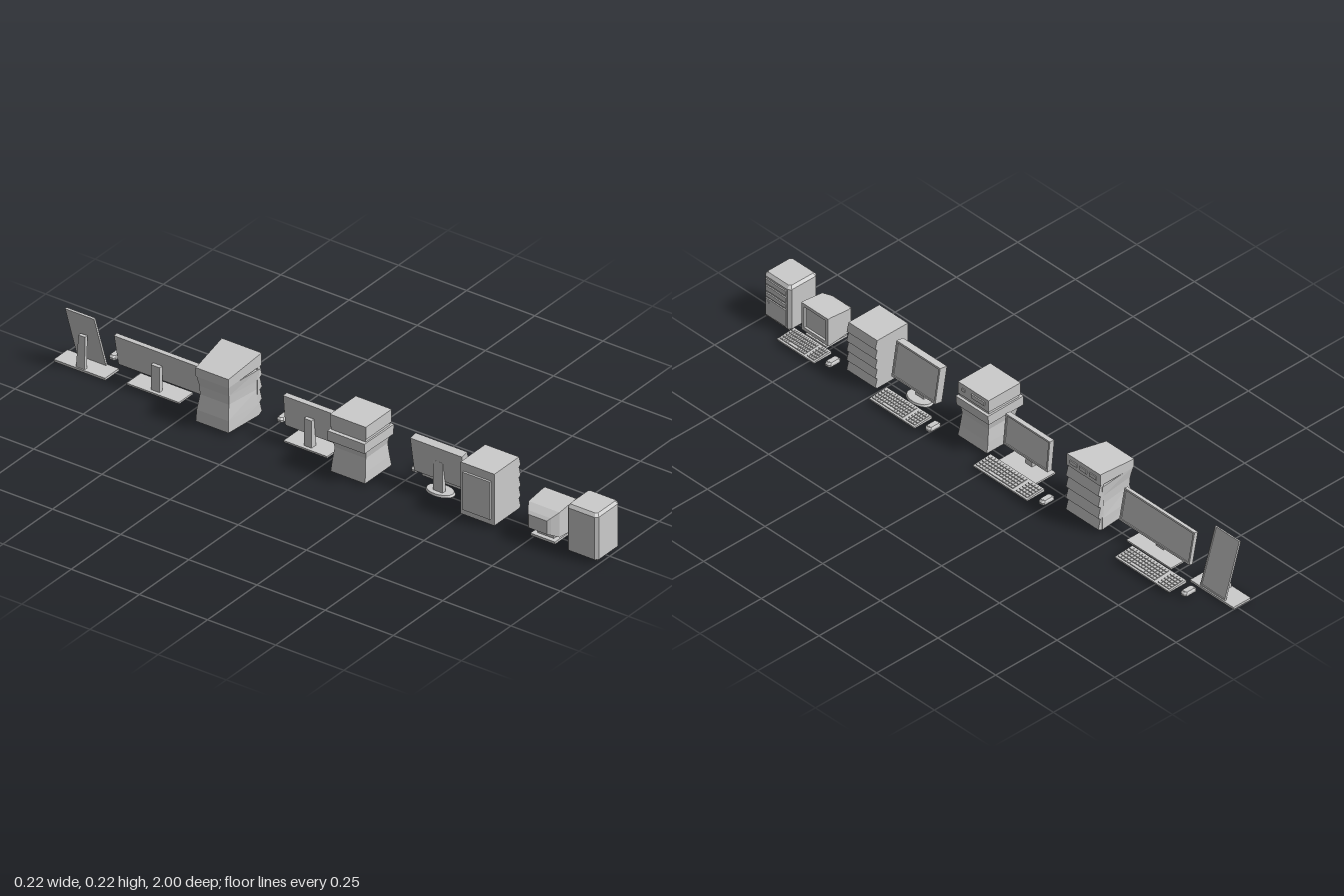
import * as THREE from 'three';
import { mergeGeometries } from 'three/addons/utils/BufferGeometryUtils.js';

const grey = new THREE.MeshStandardMaterial({ color: 0xcccccc, flatShading: true });

function add(parent, name, geo) {
  const m = new THREE.Mesh(geo, grey);
  m.name = name;
  parent.add(m);
  return m;
}
function boxGeo(x0, x1, y0, y1, z0, z1) {
  return new THREE.BoxGeometry(x1 - x0, y1 - y0, z1 - z0)
    .translate((x0 + x1) / 2, (y0 + y1) / 2, (z0 + z1) / 2);
}
const box = (p, name, ...b) => add(p, name, boxGeo(...b));

function station(parent, name, z) {
  const g = new THREE.Group();
  g.name = name;
  g.position.z = z;
  parent.add(g);
  return g;
}

// Skin a list of equal-sized rings and cap both ends
function loft(rings) {
  const pos = [], n = rings[0].length;
  const tri = (...pts) => pts.forEach(p => pos.push(...p));
  for (let k = 0; k + 1 < rings.length; k++) {
    const a = rings[k], b = rings[k + 1];
    for (let i = 0; i < n; i++) {
      const j = (i + 1) % n;
      tri(a[i], a[j], b[j], a[i], b[j], b[i]);
    }
  }
  const lo = rings[0], hi = rings[rings.length - 1];
  for (let i = 1; i + 1 < n; i++) {
    tri(lo[0], lo[i + 1], lo[i]);
    tri(hi[0], hi[i], hi[i + 1]);
  }
  const g = new THREE.BufferGeometry();
  g.setAttribute('position', new THREE.Float32BufferAttribute(pos, 3));
  g.computeVertexNormals();
  return g;
}
// Horizontal ring: back/front x, half width at back and at front, heights at back and front
const ringY = (x0, x1, wb, wf, yb, yf = yb) =>
  [[x1, yf, wf], [x1, yf, -wf], [x0, yb, -wb], [x0, yb, wb]];
// Ring across x, used for the tube monitor
const ringX = (x, y0, y1, w) => [[x, y0, -w], [x, y1, -w], [x, y1, w], [x, y0, w]];
// Horizontal ring with chamfered corners
const ringC = (x0, x1, w, c, y) => [[x1, y, w - c], [x1, y, c - w], [x1 - c, y, -w], [x0 + c, y, -w],
  [x0, y, c - w], [x0, y, w - c], [x0 + c, y, w], [x1 - c, y, w]];

// Front of overlapping slanted panels
function louvers(p, x, out, y0, y1, count, w) {
  const s = new THREE.Shape(), h = (y1 - y0) / count;
  s.moveTo(x - 0.012, y0);
  for (let i = 0; i < count; i++) {
    const y = y0 + i * h;
    s.lineTo(x, y);
    s.lineTo(x + out, y + h * 0.15);
    s.lineTo(x, y + h);
  }
  s.lineTo(x - 0.012, y1);
  add(p, 'louveredFront', new THREE.ExtrudeGeometry(s, { depth: 2 * w, bevelEnabled: false }).translate(0, 0, -w));
}

// Flat display: casing, raised bezel and recessed screen, leaning about its bottom edge
function display(p, x, y, h, w, depth, tilt, rim = 0.006) {
  const g = new THREE.Group();
  g.name = 'display';
  g.position.set(x, y, 0);
  g.rotation.z = tilt;
  p.add(g);
  box(g, 'screenCasing', -depth, -0.003, 0, h, -w, w);
  box(g, 'bezelBottom', -0.003, 0, 0, rim, -w, w);
  box(g, 'bezelTop', -0.003, 0, h - rim, h, -w, w);
  for (const s of [-1, 1]) {
    const z = s * (w - rim / 2);
    box(g, 'bezelSide', -0.003, 0, rim, h - rim, z - rim / 2, z + rim / 2);
  }
}

// Wedge keyboard with rows of keys and a number block
function keyboard(root, z, w) {
  const g = station(root, 'keyboard', z);
  add(g, 'keyboardBase', loft([ringY(0.038, 0.109, w, w, 0.011), ringY(0.038, 0.109, w, w, 0.021, 0.016)]));
  const keys = [], cols = 18, pitch = (2 * w - 0.01) / cols;
  for (let r = 0; r < 5; r++) {
    const x = 0.045 + r * 0.012, y = 0.0205 - (x - 0.038) * 0.07;
    for (let c = 0; c < cols; c++) {
      if (c === 4 || (r === 4 && c > 9 && c < 14)) continue;
      const kz = -w + 0.005 + c * pitch;
      const wide = r === 4 && c === 9 ? 5 * pitch : pitch;
      keys.push(boxGeo(x, x + 0.0095, y - 0.001, y + 0.003, kz + 0.001, kz + wide - 0.001));
    }
  }
  add(g, 'keys', mergeGeometries(keys));
}

function mouse(root, z) {
  const g = station(root, 'mouse', z);
  add(g, 'mouseBody', loft([
    ringC(0.04, 0.09, 0.012, 0.006, 0.011), ringC(0.04, 0.09, 0.012, 0.006, 0.018),
    ringC(0.046, 0.084, 0.009, 0.005, 0.024)]));
  box(g, 'mouseWheel', 0.078, 0.084, 0.02, 0.025, -0.002, 0.002);
}

export function createModel() {
  const root = new THREE.Group();
  root.name = 'computerLineup';

  // Small chamfered tower
  const t1 = station(root, 'chamferedTower', 0.943);
  box(t1, 'plinth', -0.056, 0.048, 0.009, 0.018, -0.051, 0.051);
  add(t1, 'towerBody', loft([ringC(-0.064, 0.052, 0.057, 0.009, 0.015),
    ringC(-0.064, 0.052, 0.057, 0.009, 0.161), ringC(-0.055, 0.043, 0.05, 0.006, 0.171)]));
  for (const [y, h] of [[0.138, 0.016], [0.112, 0.018], [0.09, 0.014]])
    box(t1, 'driveBay', 0.05, 0.056, y, y + h, -0.043, 0.043);
  box(t1, 'lowerFrontPanel', 0.05, 0.056, 0.022, 0.084, -0.043, 0.043);
  box(t1, 'powerButton', 0.055, 0.058, 0.07, 0.077, 0.027, 0.034);

  // Tube monitor
  const crt = station(root, 'tubeMonitor', 0.794);
  add(crt, 'tubeHousing', loft([ringX(-0.081, 0.054, 0.1, 0.034), ringX(-0.072, 0.05, 0.108, 0.042),
    ringX(-0.048, 0.036, 0.122, 0.057), ringX(0.024, 0.03, 0.13, 0.058)]));
  box(crt, 'tubeScreen', 0.02, 0.028, 0.042, 0.119, -0.046, 0.046);
  box(crt, 'frameTop', 0.024, 0.036, 0.119, 0.13, -0.058, 0.058);
  box(crt, 'frameBottom', 0.024, 0.036, 0.03, 0.042, -0.058, 0.058);
  for (const s of [-0.052, 0.052]) box(crt, 'frameSide', 0.024, 0.036, 0.042, 0.119, s - 0.006, s + 0.006);
  box(crt, 'monitorNeck', -0.04, 0.02, 0.018, 0.034, -0.03, 0.03);
  box(crt, 'monitorFoot', -0.055, 0.032, 0.011, 0.019, -0.045, 0.045);

  // Louvered tower
  const t2 = station(root, 'louveredTower', 0.567);
  box(t2, 'towerBody', -0.072, 0.045, 0.01, 0.188, -0.062, 0.062);
  louvers(t2, 0.053, 0.008, 0.01, 0.188, 5, 0.062);
  box(t2, 'rearPanel', -0.079, -0.07, 0.03, 0.16, -0.05, 0.05);

  // Flat monitor on a round foot
  const m1 = station(root, 'roundFootMonitor', 0.382);
  display(m1, 0.022, 0.055, 0.124, 0.095, 0.028, 0.17);
  box(m1, 'monitorNeck', -0.018, -0.004, 0.014, 0.12, -0.018, 0.018);
  add(m1, 'roundFoot', new THREE.CylinderGeometry(0.046, 0.05, 0.007, 32).scale(0.65, 1, 1).translate(-0.004, 0.0135, 0));

  // Banded tower with a flared lower body
  const t3 = station(root, 'bandedTower', 0.112);
  add(t3, 'flaredBody', loft([ringY(-0.1, 0.035, 0.063, 0.063, 0.01), ringY(-0.095, 0.028, 0.061, 0.061, 0.045),
    ringY(-0.088, 0.023, 0.057, 0.057, 0.09), ringY(-0.096, 0.026, 0.063, 0.063, 0.125)]));
  add(t3, 'middleBand', loft([ringY(-0.11, 0.034, 0.068, 0.07, 0.12), ringY(-0.11, 0.037, 0.068, 0.07, 0.153)]));
  box(t3, 'bandSeam', -0.097, 0.027, 0.152, 0.164, -0.063, 0.063);
  box(t3, 'topCase', -0.1, 0.031, 0.163, 0.206, -0.066, 0.066);
  box(t3, 'discSlot', 0.03, 0.035, 0.18, 0.194, -0.05, 0.005);
  box(t3, 'powerButton', 0.03, 0.034, 0.182, 0.192, 0.035, 0.047);

  // Flat monitor on a square foot
  const m2 = station(root, 'squareFootMonitor', -0.083);
  display(m2, 0.003, 0.05, 0.108, 0.096, 0.018, 0.1);
  box(m2, 'monitorNeck', -0.034, -0.012, 0.015, 0.11, -0.014, 0.014);
  box(m2, 'squareFoot', -0.046, 0.035, 0.01, 0.016, -0.08, 0.08);

  // Wedge-topped tower
  const t4 = station(root, 'wedgeTower', -0.386);
  add(t4, 'waistedBody', loft([ringY(-0.1, 0.04, 0.06, 0.072, 0.01), ringY(-0.098, 0.04, 0.058, 0.071, 0.05),
    ringY(-0.088, 0.04, 0.053, 0.068, 0.1), ringY(-0.09, 0.04, 0.054, 0.069, 0.13),
    ringY(-0.099, 0.04, 0.059, 0.072, 0.168)]));
  add(t4, 'slopedCap', loft([ringY(-0.1, 0.05, 0.06, 0.073, 0.165, 0.178), ringY(-0.1, 0.05, 0.06, 0.073, 0.195, 0.22)]));
  louvers(t4, 0.046, 0.01, 0.01, 0.178, 4, 0.07);
  for (const z of [-0.042, 0, 0.042]) box(t4, 'frontSocket', 0.048, 0.053, 0.192, 0.205, z - 0.015, z + 0.015);

  // Ultra-wide monitor
  const m3 = station(root, 'wideMonitor', -0.642);
  display(m3, 0.003, 0.045, 0.111, 0.152, 0.014, 0.2);
  box(m3, 'monitorNeck', -0.035, -0.02, 0.013, 0.1, -0.016, 0.016);
  box(m3, 'monitorFoot', -0.047, 0.025, 0.008, 0.014, -0.096, 0.096);

  // Upright slab display on a leaning stand
  const m4 = station(root, 'slabDisplay', -0.906);
  display(m4, 0.014, 0.01, 0.198, 0.053, 0.007, 0.31, 0.004);
  box(m4, 'standPlate', -0.054, 0.016, 0, 0.008, -0.094, 0.094);
  add(m4, 'rearStrut', loft([ringY(-0.05, -0.038, 0.016, 0.016, 0.006), ringY(-0.042, -0.03, 0.012, 0.012, 0.115)]));

  // Keyboards and mice beside each machine
  for (const [z, w] of [[0.8, 0.08], [0.382, 0.098], [-0.087, 0.117], [-0.702, 0.117]]) keyboard(root, z, w);
  for (const z of [0.685, 0.251, -0.242, -0.857]) mouse(root, z);
  return root;
}
